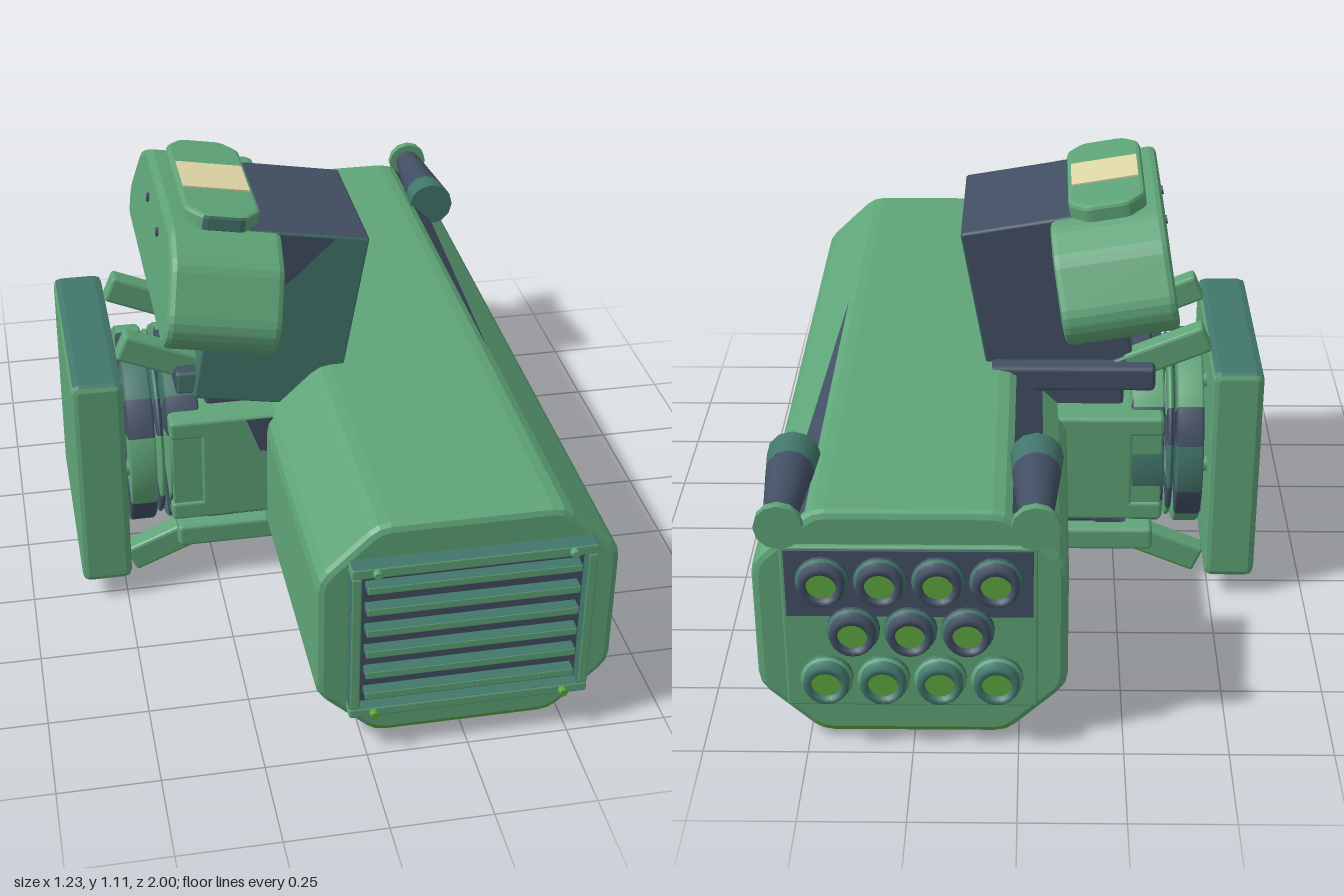
import * as THREE from 'three';
import { RoundedBoxGeometry } from 'three/addons/geometries/RoundedBoxGeometry.js';

const mat = (name, color, side = THREE.FrontSide) => {
  const m = new THREE.MeshStandardMaterial({ color, side });
  m.name = name;
  return m;
};

export function createModel() {
  const green = mat('green', 0x5fa478);
  const slate = mat('slate', 0x424f63, THREE.DoubleSide);
  const teal = mat('teal', 0x42776b, THREE.DoubleSide);
  const olive = mat('olive', 0x5ea640);
  const tan = mat('tan', 0xdfd7a6);
  const root = new THREE.Group();
  root.name = 'launcher';

  const add = (name, geo, material, x = 0, y = 0, z = 0, parent = root) => {
    const m = new THREE.Mesh(geo, material);
    m.name = name;
    m.position.set(x, y, z);
    parent.add(m);
    return m;
  };
  // Softened box given by its limits
  const block = (name, material, [x0, x1], [y0, y1], [z0, z1], r = 0.012, parent = root) =>
    add(name, new RoundedBoxGeometry(x1 - x0, y1 - y0, z1 - z0, 1, r), material,
      (x0 + x1) / 2, (y0 + y1) / 2, (z0 + z1) / 2, parent);
  // Polygon with rounded corners
  const roundedShape = (pts, r) => {
    const s = new THREE.Shape();
    const v = pts.map(p => new THREE.Vector2(...p));
    v.forEach((p, i) => {
      const a = v[(i + v.length - 1) % v.length], b = v[(i + 1) % v.length];
      const p0 = p.clone().add(a.clone().sub(p).setLength(r));
      const p1 = p.clone().add(b.clone().sub(p).setLength(r));
      if (i) s.lineTo(p0.x, p0.y); else s.moveTo(p0.x, p0.y);
      s.quadraticCurveTo(p.x, p.y, p1.x, p1.y);
    });
    s.closePath();
    return s;
  };
  // Bevelled prism centred along z
  const prism = (pts, depth, r, bevel) => new THREE.ExtrudeGeometry(roundedShape(pts, r), {
    depth: depth - 2 * bevel, bevelThickness: bevel, bevelSize: bevel, bevelOffset: -bevel,
    bevelSegments: 2, curveSegments: 2,
  }).translate(0, 0, -depth / 2 + bevel);
  // Sorts triangles into material groups by a rule on normal and centre
  const paint = (geo, rule, count = 2) => {
    const g = geo.index ? geo.toNonIndexed() : geo;
    const pos = g.attributes.position, bins = Array.from({ length: count }, () => []);
    const t = new THREE.Triangle(), n = new THREE.Vector3(), c = new THREE.Vector3();
    for (let i = 0; i < pos.count; i += 3) {
      t.setFromAttributeAndIndices(pos, i, i + 1, i + 2);
      bins[Number(rule(t.getNormal(n), t.getMidpoint(c)))].push(i, i + 1, i + 2);
    }
    g.setIndex(bins.flat());
    g.clearGroups();
    let start = 0;
    bins.forEach((b, k) => { g.addGroup(start, b.length, k); start += b.length; });
    return g;
  };
  const repaint = (mesh, rule, materials) => {
    mesh.geometry = paint(mesh.geometry, rule);
    mesh.material = materials;
  };
  const underside = n => n.y < -0.3;
  const cyl = (r0, r1, h, n = 16) => new THREE.CylinderGeometry(r1, r0, h, n);
  const patch = pts => new THREE.ShapeGeometry(new THREE.Shape(pts.map(p => new THREE.Vector2(...p))));

  // Main casing: long octagonal prism with an olive underside
  const cx = 0.25;
  const octagon = [[-0.366, 0.163], [-0.222, 0.027], [0.222, 0.027], [0.366, 0.163],
    [0.366, 0.503], [0.222, 0.641], [-0.222, 0.641], [-0.366, 0.503]];
  add('casing', paint(prism(octagon, 1.89, 0.03, 0.018), underside), [green, olive], cx);

  // Camouflage streaks on the upper chamfers: a wedge and a strip
  const streak = (s, pts) => {
    const g = new THREE.BufferGeometry();
    g.setAttribute('position', new THREE.Float32BufferAttribute(pts.flatMap(([t, z]) =>
      [s * (0.22 + 0.14 * t + 0.005), 0.635 - 0.135 * t + 0.005, z]), 3));
    g.setIndex(s > 0 ? [0, 1, 2, 0, 2, 3] : [0, 2, 1, 0, 3, 2]);
    g.computeVertexNormals();
    add('camouflageStreak', g, slate, cx);
  };
  streak(1, [[0.08, 0.2], [0.47, -0.66], [0.55, -0.92], [0.08, -0.92]]);
  streak(-1, [[0.08, -0.1], [0.55, -0.1], [0.6, -0.92], [0.08, -0.92]]);

  // Front grille
  block('grilleBack', slate, [-0.03, 0.535], [0.12, 0.55], [0.92, 0.955], 0.004);
  for (const [y0, y1] of [[0.115, 0.143], [0.527, 0.557]])
    repaint(block('grilleRail', green, [-0.043, 0.547], [y0, y1], [0.93, 0.985], 0.006),
      n => n.y > 0.6, [green, teal]);
  for (const x of [-0.03, 0.534])
    repaint(block('grillePost', green, [x - 0.013, x + 0.013], [0.14, 0.53], [0.93, 0.985], 0.006),
      n => Math.abs(n.x) > 0.6, [green, teal]);
  for (let i = 0; i < 6; i++)
    repaint(block('slat', teal, [-0.005, 0.51], [0.168 + i * 0.0625, 0.19 + i * 0.0625], [0.95, 0.985], 0.004),
      n => n.z > 0.8, [teal, green]);
  for (const x of [0.017, 0.485])
    for (const y of [0.128, 0.543])
      add('grilleBolt', cyl(0.012, 0.01, 0.02, 8).rotateX(Math.PI / 2), y < 0.3 ? olive : green, x, y, 0.99);

  // Rear plate with tubes in rows of four, three and four
  block('rearPlate', green, [-0.045, 0.547], [0.115, 0.557], [-0.957, -0.92], 0.006);
  block('rearPlatePatch', slate, [-0.035, 0.537], [0.37, 0.55], [-0.961, -0.95], 0.002);
  const tube = paint(new THREE.LatheGeometry([[0.062, 0], [0.062, 0.03], [0.054, 0.032], [0.054, 0.052],
    [0.05, 0.06], [0.036, 0.06], [0.034, 0.03]].map(p => new THREE.Vector2(...p)), 20).rotateX(-Math.PI / 2),
    (n, c) => n.z < -0.9 && c.z > -0.04);
  [4, 3, 4].forEach((count, row) => {
    for (let i = 0; i < count; i++) {
      const x = cx + (i - (count - 1) / 2) * 0.133, y = 0.2 + row * 0.136;
      add('rearTube', tube, row === 0 ? [teal, green] : [slate, teal], x, y, -0.94);
      add('tubeBore', cyl(0.036, 0.036, 0.03).rotateX(-Math.PI / 2), olive, x, y, -0.972);
    }
  });

  // Tapered horns on the rear top corners
  for (const s of [-1, 1]) {
    const horn = new THREE.Group();
    horn.name = 'horn';
    horn.position.set(cx + s * 0.29, 0.627, 0);
    root.add(horn);
    const part = (name, r0, r1, z0, z1, m) =>
      add(name, cyl(r0, r1, z0 - z1, 12).rotateX(-Math.PI / 2), m, 0, 0, (z0 + z1) / 2, horn);
    part('hornBase', 0.065, 0.058, -0.66, -0.74, teal);
    part('hornTaper', 0.058, 0.036, -0.74, -0.975, slate);
    part('hornDisc', 0.056, 0.056, -0.968, -0.99, green);
  }

  // Side mount: core, bracket with an open end, and flanges
  block('mountCore', slate, [-0.265, 0], [0.16, 0.585], [-0.2, 0.17]);
  block('bracket', green, [-0.29, -0.08], [0.22, 0.525], [-0.285, 0.252]);
  for (const [y0, y1] of [[0.22, 0.275], [0.47, 0.525]])
    block('bracketLip', green, [-0.37, -0.27], [y0, y1], [-0.285, 0.252]);
  block('bracketPad', green, [-0.365, -0.28], [0.27, 0.475], [-0.28, 0.246], 0.004);
  add('bracketPatch', patch([[-0.17, 0.518], [-0.135, 0.42], [-0.09, 0.41], [-0.09, 0.518]]), slate, 0, 0, 0.255);
  repaint(block('upperFlange', slate, [-0.345, 0.08], [0.58, 0.648], [-0.24, 0.205]),
    n => n.z > 0.6, [slate, teal]);
  block('lowerFlange', green, [-0.35, -0.05], [0.097, 0.163], [-0.24, 0.205]);
  for (const z of [0.14, -0.175]) {
    for (const [name, y, turn, rule, inner] of [['upperTab', 0.655, -0.4, () => 0, teal],
      ['lowerTab', 0.1, 0.4, underside, slate]]) {
      const tab = new THREE.Group();
      tab.name = name;
      tab.position.set(-0.34, y, z);
      tab.rotation.z = turn;
      root.add(tab);
      add('tabEnd', paint(prism([[-0.15, -0.037], [0.07, -0.037], [0.07, 0.037], [-0.15, 0.037]],
        0.056, 0.008, 0.008), rule), [green, olive], 0, 0, 0, tab);
      block('tabRoot', inner, [0.06, 0.16], [-0.034, 0.034], [-0.027, 0.027], 0.006, tab);
    }
  }
  add('footDisc', paint(cyl(0.107, 0.107, 0.04, 24), underside), [green, olive], -0.172, 0.07, -0.02);

  // Turntable rings around the sideways axis
  const ring = (name, x0, x1, r, inner) => {
    const h = x1 - x0;
    const g = new THREE.LatheGeometry([[inner, 0], [r - 0.006, 0], [r, 0.006], [r, h - 0.006],
      [r - 0.006, h], [inner, h], [inner, 0]].map(p => new THREE.Vector2(...p)), 48).rotateZ(-Math.PI / 2);
    const camo = (n, c) => {
      const a = Math.cos(Math.atan2(c.y, c.z) * 3 + 3 * (c.x - h / 2));
      return a > 0.4 ? 1 : a < -0.7 ? 2 : 0;
    };
    add(name, paint(g, camo, 3), [slate, green, teal], x0, 0.37, -0.02);
  };
  ring('outerRing', -0.475, -0.405, 0.265, 0.17);
  ring('thinRing', -0.397, -0.382, 0.25, 0.19);
  ring('innerRing', -0.372, -0.285, 0.265, 0.06);
  add('ringHub', cyl(0.17, 0.17, 0.05, 32).rotateZ(Math.PI / 2), slate, -0.44, 0.37, -0.02);
  for (let i = 0; i < 6; i++) {
    const a = i * Math.PI / 3;
    add('ringBolt', cyl(0.02, 0.02, 0.022, 8).rotateZ(Math.PI / 2), green, -0.475,
      0.37 + 0.22 * Math.sin(a), -0.02 + 0.22 * Math.cos(a));
  }

  // Outer side plate with a teal top
  add('sidePlate', paint(prism([[-0.617, 0.068], [-0.486, 0.068], [-0.486, 0.674], [-0.617, 0.674]], 0.6, 0.02, 0.016),
    n => n.y > 0.8), [green, teal], 0, 0, -0.022);

  // Tilted sight tower
  const tower = new THREE.Group();
  tower.name = 'sightTower';
  tower.position.set(-0.0725, 0.7875, 0);
  tower.rotation.z = -0.17;
  root.add(tower);
  const box = paint(new RoundedBoxGeometry(0.38, 0.496, 0.41, 1, 0.008), n => n.y > 0.6 || n.z < -0.6);
  add('towerBox', box, [teal, slate], 0, 0, 0.015, tower);
  add('towerPatch', patch([[-0.18, 0.24], [-0.18, 0.02], [-0.05, 0.06], [0.02, 0.13], [0.1, 0.24]]),
    slate, 0, 0, 0.222, tower);

  // Sight head with sloped ends
  const head = [[-0.37, -0.133], [0.37, -0.133], [0.405, -0.085], [0.405, -0.04],
    [0.33, 0.085], [0.23, 0.133], [-0.23, 0.133], [-0.33, 0.085], [-0.405, -0.04], [-0.405, -0.085]];
  add('sightHead', prism(head, 0.287, 0.02, 0.016).rotateY(Math.PI / 2), green, -0.181, 0.111, 0, tower);
  add('headPatch', patch([[-0.34, -0.07], [-0.24, -0.05], [-0.21, 0.1], [-0.25, 0.09], [-0.28, 0]])
    .rotateY(Math.PI / 2), teal, -0.035, 0.111, 0, tower);
  for (const z of [-0.1, 0.1])
    add('headBolt', cyl(0.012, 0.012, 0.02, 8).rotateZ(Math.PI / 2), slate, -0.32, 0.165, z, tower);

  // Top cap with clipped corners, teal front edge and a tan window
  const cap = [[-0.0975, -0.18], [-0.055, -0.228], [0.055, -0.228], [0.0975, -0.18],
    [0.0975, 0.18], [0.055, 0.228], [-0.055, 0.228], [-0.0975, 0.18]];
  add('topCap', paint(prism(cap, 0.05, 0.015, 0.01).rotateX(-Math.PI / 2), n => n.z > 0.8),
    [green, teal], -0.188, 0.258, 0, tower);
  add('capWindow', new THREE.BoxGeometry(0.172, 0.006, 0.146), tan, -0.188, 0.284, 0.002, tower);

  return root;
}
